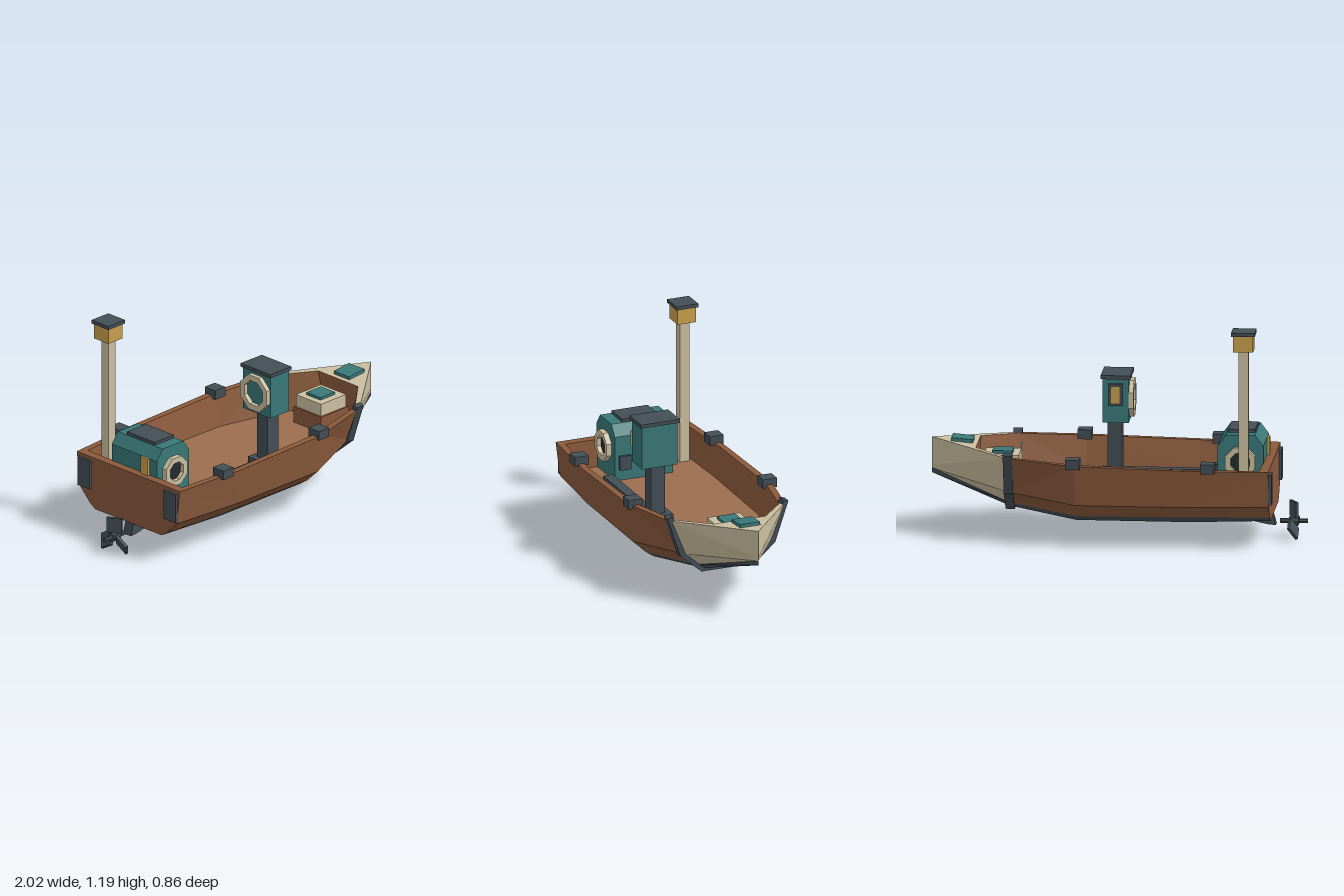
import * as THREE from 'three';

const mat = (color) => new THREE.MeshStandardMaterial({ color, flatShading: true });
const BROWN = mat(0x8a5a3c), PLANK = mat(0x9c6e4e), SLATE = mat(0x434e56), KEEL = mat(0x252b30);
const CREAM = mat(0xcbbfa0), TEAL = mat(0x3a7878), GOLD = mat(0xc8a04c);

export function createModel() {
  const boat = new THREE.Group();
  boat.name = 'boat';

  const add = (name, geometry, material, parent = boat) => {
    const mesh = new THREE.Mesh(geometry, material);
    mesh.name = name;
    parent.add(mesh);
    return mesh;
  };
  // Box given by its extents on each axis
  const box = (name, material, x0, x1, y0, y1, z0, z1) => {
    const mesh = add(name, new THREE.BoxGeometry(x1 - x0, y1 - y0, z1 - z0), material);
    mesh.position.set((x0 + x1) / 2, (y0 + y1) / 2, (z0 + z1) / 2);
    return mesh;
  };
  // Faceted strip between two lines of points, mirrored across z = 0
  const ribbon = (name, material, a, b) => {
    const out = [];
    const tri = (p, q, r) => {
      out.push(...p, ...q, ...r);
      for (const [x, y, z] of [p, r, q]) out.push(x, y, -z);
    };
    for (let i = 0; i + 1 < a.length; i++) {
      tri(a[i], b[i], b[i + 1]);
      tri(a[i], b[i + 1], a[i + 1]);
    }
    const geometry = new THREE.BufferGeometry();
    geometry.setAttribute('position', new THREE.Float32BufferAttribute(out, 3));
    geometry.computeVertexNormals();
    return add(name, geometry, material);
  };
  const centre = (line) => line.map(([x, y]) => [x, y, 0]);

  // Hull lines from stern to bow: sheer, chine, waterline, bottom edge
  const sheer = [[-0.84, 0.435, 0.39], [-0.41, 0.44, 0.42], [0.2, 0.455, 0.42], [0.57, 0.475, 0.34], [1, 0.515, 0]];
  const chine = [[-0.84, 0.24, 0.365], [-0.41, 0.235, 0.39], [0.2, 0.235, 0.39], [0.57, 0.275, 0.26], [1, 0.36, 0]];
  const water = [[-0.84, 0.165, 0.29], [-0.41, 0.165, 0.315], [0.2, 0.16, 0.31], [0.57, 0.2, 0.175], [1, 0.345, 0]];
  const bottom = [[-0.84, 0.14, 0.25], [-0.41, 0.13, 0.27], [0.2, 0.13, 0.265], [0.57, 0.175, 0.14], [1, 0.32, 0]];
  const aft = (line) => line.slice(0, 4), bow = (line) => line.slice(3);
  ribbon('hullSide', BROWN, aft(sheer), aft(chine));
  ribbon('hullBilge', BROWN, aft(chine), aft(water));
  ribbon('bowSide', CREAM, bow(sheer), bow(chine));
  ribbon('bowBilge', CREAM, bow(chine), bow(water));
  ribbon('keelStrip', SLATE, water, bottom);
  ribbon('hullBottom', KEEL, bottom, centre(bottom));
  const section = [sheer[0], chine[0], water[0], bottom[0]];
  ribbon('transom', BROWN, section, centre(section));

  // Gunwale, inner walls and floor
  const F = 0.28;
  const rim = [[-0.79, 0.435, 0.355], [-0.41, 0.44, 0.385], [0.2, 0.455, 0.38], [0.57, 0.475, 0.305], [0.75, 0.492, 0.15]];
  const floor = [[-0.785, F, 0.33], [-0.41, F, 0.345], [0.2, F, 0.34], [0.57, F, 0.25], [0.75, F, 0.1]];
  const sheerMid = [0.75, 0.492, 0.198];
  ribbon('gunwale', BROWN, aft(rim), aft(sheer));
  const sternRim = [sheer[0], rim[0]];
  ribbon('sternRim', BROWN, centre(sternRim), sternRim);
  ribbon('innerWall', BROWN, floor, rim);
  const innerStern = [rim[0], floor[0]];
  ribbon('innerTransom', BROWN, centre(innerStern), innerStern);
  ribbon('floor', PLANK, centre(floor), floor);
  const bulkhead = [rim[4], floor[4]];
  ribbon('bowBulkhead', BROWN, bulkhead, centre(bulkhead));
  ribbon('foredeckEdge', CREAM, [...bow(rim), sheer[4]], [sheer[3], sheerMid, sheer[4]]);
  const deck = [rim[4], sheer[4]];
  ribbon('foredeck', CREAM, centre(deck), deck);

  // Strap wrapped around the hull where the bow begins
  const strap = [[0.49, 0.335], [0.275, 0.262], [0.175, 0.145]];
  for (const s of [1, -1]) {
    for (let i = 0; i < 2; i++) {
      const [y0, z0] = strap[i], [y1, z1] = strap[i + 1];
      const bar = add('bowStrap', new THREE.BoxGeometry(0.05, Math.hypot(y1 - y0, z1 - z0) + 0.015, 0.03), SLATE);
      bar.position.set(0.565, (y0 + y1) / 2, s * (z0 + z1) / 2);
      bar.rotation.x = Math.atan2(s * (z0 - z1), y0 - y1);
    }
    // Gunwale cleats and transom brackets
    for (const [x, y] of [[-0.515, 0.455], [0.21, 0.465]]) {
      const [z0, z1] = s > 0 ? [0.352, 0.432] : [-0.432, -0.352];
      box('cleat', SLATE, x - 0.038, x + 0.038, y - 0.027, y + 0.025, z0, z1);
    }
    const [z0, z1] = s > 0 ? [0.28, 0.37] : [-0.37, -0.28];
    box('transomBracket', SLATE, -0.855, -0.835, 0.25, 0.415, z0, z1);
  }
  box('bowStrapBottom', SLATE, 0.54, 0.59, 0.163, 0.18, -0.15, 0.15);

  // Bow locker and hatches
  box('lockerBase', BROWN, 0.515, 0.725, F, 0.37, -0.105, 0.105);
  box('locker', CREAM, 0.525, 0.715, 0.37, 0.44, -0.095, 0.095);
  box('lockerHatch', TEAL, 0.562, 0.672, 0.44, 0.455, -0.053, 0.053);
  box('foredeckHatch', TEAL, 0.775, 0.892, 0.495, 0.518, -0.058, 0.058).rotation.z = 0.09;

  // Octagonal ring facing +z
  const ring = (name, outer, inner, depth) => {
    const circle = (Type, r) => new Type().setFromPoints([...Array(8)].map((_, i) => {
      const a = (i + 0.5) * Math.PI / 4;
      return new THREE.Vector2(r * Math.cos(a), r * Math.sin(a));
    }));
    const shape = circle(THREE.Shape, outer);
    shape.holes.push(circle(THREE.Path, inner));
    return add(name, new THREE.ExtrudeGeometry(shape, { depth, bevelEnabled: false }), CREAM);
  };

  // Engine housing with chamfered top
  const profile = [[-0.795, F], [-0.55, F], [-0.55, 0.53], [-0.595, 0.59], [-0.75, 0.59], [-0.795, 0.53]];
  const housing = new THREE.Shape(profile.map(([x, y]) => new THREE.Vector2(x, y)));
  add('engineHousing', new THREE.ExtrudeGeometry(housing, { depth: 0.34, bevelEnabled: false }), TEAL).position.z = -0.17;
  box('engineCap', SLATE, -0.745, -0.6, 0.59, 0.607, -0.105, 0.105);
  box('engineGauge', GOLD, -0.81, -0.79, 0.43, 0.53, 0.06, 0.115);
  for (const z of [-0.112, 0.112]) box('engineVent', SLATE, -0.552, -0.535, 0.34, 0.42, z - 0.033, z + 0.033);
  for (const s of [1, -1]) {
    const port = ring('enginePortRing', 0.087, 0.055, 0.03);
    port.position.set(-0.672, 0.445, s * 0.17);
    if (s < 0) port.rotation.y = Math.PI;
    const disc = add('enginePort', new THREE.CylinderGeometry(0.057, 0.057, 0.01, 8), KEEL);
    disc.rotation.x = Math.PI / 2;
    disc.position.set(-0.672, 0.445, s * 0.172);
  }

  // Control pedestal and floor conduit
  box('pedestalBase', SLATE, -0.045, 0.105, F, 0.315, 0.11, 0.26);
  box('pedestalPost', SLATE, -0.01, 0.07, 0.31, 0.6, 0.145, 0.225);
  box('pedestalHead', TEAL, -0.05, 0.09, 0.59, 0.832, 0.08, 0.285);
  box('pedestalCap', SLATE, -0.06, 0.1, 0.83, 0.85, 0.07, 0.295);
  box('pedestalGaugeFrame', SLATE, -0.02, 0.06, 0.685, 0.805, 0.068, 0.082);
  box('pedestalGauge', GOLD, -0.003, 0.043, 0.7, 0.79, 0.064, 0.07);
  const wheel = ring('wheel', 0.108, 0.074, 0.025);
  wheel.rotation.y = -Math.PI / 2;
  wheel.position.set(-0.05, 0.712, 0.182);
  box('conduit', SLATE, -0.552, -0.045, F, 0.32, 0.18, 0.237);

  // Mast with lantern
  box('mast', CREAM, -0.727, -0.673, F, 1.08, -0.317, -0.263);
  box('lantern', GOLD, -0.754, -0.647, 1.08, 1.167, -0.344, -0.237);
  box('lanternCap', SLATE, -0.764, -0.637, 1.167, 1.187, -0.354, -0.227);

  // Skeg under the stern
  const fin = new THREE.Shape([[-0.85, 0.07], [-0.8, 0.075], [-0.52, 0.14], [-0.83, 0.145]].map(([x, y]) => new THREE.Vector2(x, y)));
  add('skeg', new THREE.ExtrudeGeometry(fin, { depth: 0.06, bevelEnabled: false }), SLATE).position.z = -0.03;

  // Propeller with three pitched blades
  const propeller = new THREE.Group();
  propeller.name = 'propeller';
  propeller.position.set(-0.945, 0.09, 0);
  boat.add(propeller);
  add('shaft', new THREE.CylinderGeometry(0.013, 0.013, 0.15, 8), SLATE, propeller).rotation.z = Math.PI / 2;
  add('hub', new THREE.CylinderGeometry(0.026, 0.026, 0.05, 8), SLATE, propeller).rotation.z = Math.PI / 2;
  for (let i = 0; i < 3; i++) {
    const arm = new THREE.Group();
    arm.name = 'bladeArm';
    arm.rotation.x = i * Math.PI * 2 / 3;
    propeller.add(arm);
    const blade = add('blade', new THREE.BoxGeometry(0.016, 0.085, 0.085), SLATE, arm);
    blade.position.y = 0.065;
    blade.rotation.y = 0.5;
  }
  return boat;
}
